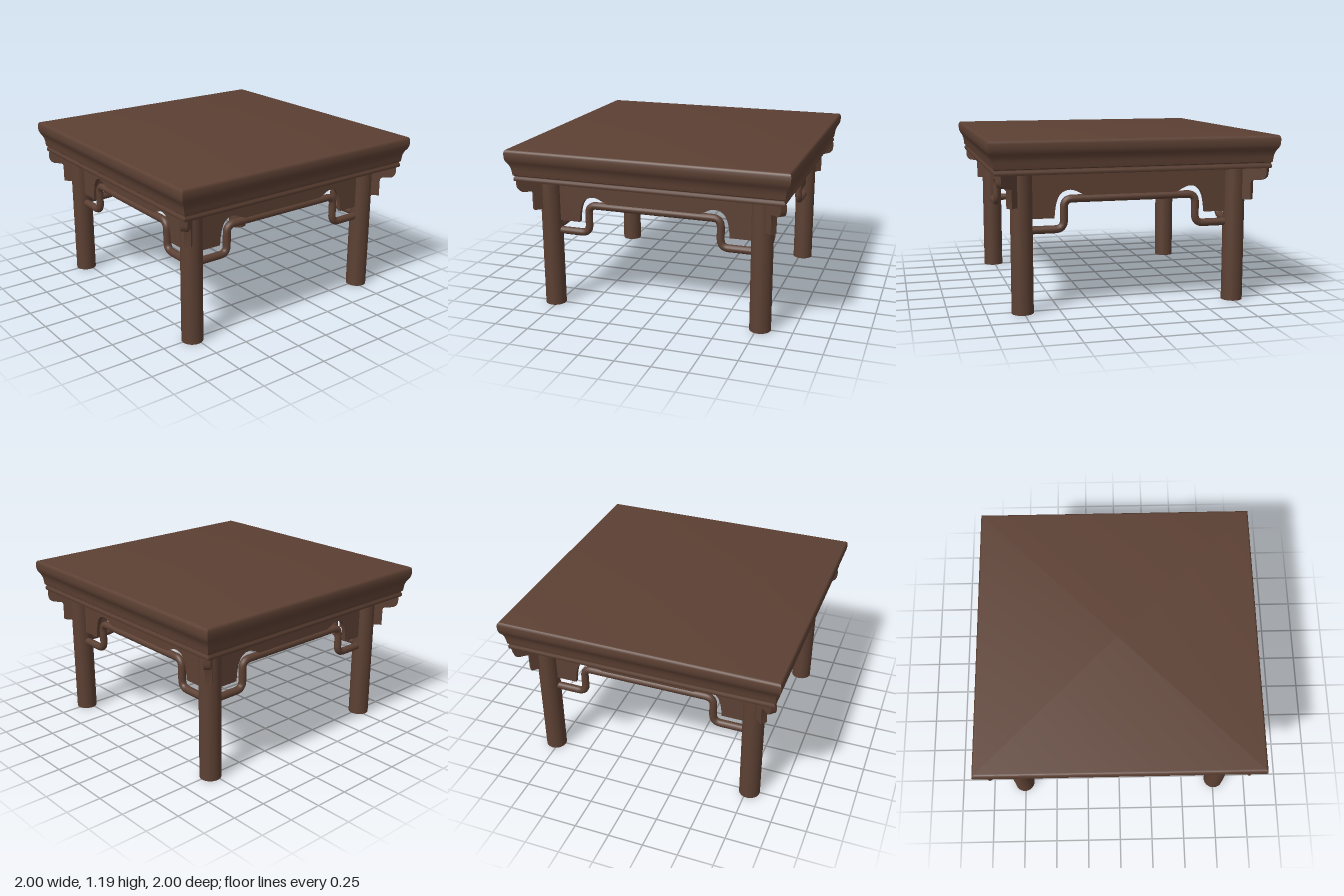
import * as THREE from 'three';
import { toCreasedNormals } from 'three/addons/utils/BufferGeometryUtils.js';

const LEG_X = 0.757, LEG_Z = 0.773, UNDERSIDE = 0.957;

// Centred extrusion of an outline
function plate(shape, thickness) {
  const g = new THREE.ExtrudeGeometry(shape, { depth: thickness, bevelEnabled: false, curveSegments: 10 });
  g.translate(0, 0, -thickness / 2);
  return toCreasedNormals(g, 0.6);
}

// Path through points with rounded corners
function roundedPath(points, radius) {
  const path = new THREE.CurvePath();
  let from = points[0];
  for (let i = 1; i < points.length - 1; i++) {
    const p = points[i];
    const a = p.clone().add(points[i - 1].clone().sub(p).setLength(radius));
    const b = p.clone().add(points[i + 1].clone().sub(p).setLength(radius));
    path.add(new THREE.LineCurve3(from, a));
    path.add(new THREE.QuadraticBezierCurve3(a, p, b));
    from = b;
  }
  path.add(new THREE.LineCurve3(from, points[points.length - 1]));
  return path;
}

// Moulded square top: a four-sided lathe of the edge profile
function topGeometry() {
  const profile = [
    [0, UNDERSIDE], [0.953, UNDERSIDE], [0.957, 0.966], [0.957, 0.98], [0.951, 0.988],
    [0.951, 0.994], [0.959, 1.0], [0.961, 1.01], [0.963, 1.03], [0.967, 1.055],
    [0.977, 1.08], [0.989, 1.098], [0.996, 1.115], [0.999, 1.135], [0.999, 1.165],
    [0.995, 1.178], [0.988, 1.185], [0.978, 1.187], [0, 1.187],
  ].map(([x, y]) => new THREE.Vector2(x * Math.SQRT2, y));
  const g = new THREE.LatheGeometry(profile, 4, Math.PI / 4);
  return toCreasedNormals(g, 0.7);
}

// Apron outline with an arched cut-out near each leg
function apronGeometry(legPos) {
  const d = legPos - LEG_X;
  const s = new THREE.Shape();
  s.moveTo(-legPos, UNDERSIDE);
  s.lineTo(-legPos, 0.643);
  s.lineTo(-0.535 - d, 0.643);
  s.bezierCurveTo(-0.527 - d, 0.76, -0.51 - d, 0.83, -0.425 - d, 0.832);
  s.bezierCurveTo(-0.38 - d, 0.83, -0.36 - d, 0.80, -0.30 - d, 0.785);
  s.lineTo(0.30 + d, 0.785);
  s.bezierCurveTo(0.36 + d, 0.80, 0.38 + d, 0.83, 0.425 + d, 0.832);
  s.bezierCurveTo(0.51 + d, 0.83, 0.527 + d, 0.76, 0.535 + d, 0.643);
  s.lineTo(legPos, 0.643);
  s.lineTo(legPos, UNDERSIDE);
  return plate(s, 0.03);
}

// Stretcher that steps up between the legs
function railGeometry(legPos) {
  const bend = 0.468 + legPos - LEG_X;
  const points = [[-legPos, 0.565], [-bend, 0.565], [-bend, 0.77], [bend, 0.77], [bend, 0.565], [legPos, 0.565]]
    .map(([x, y]) => new THREE.Vector3(x, y, 0));
  return new THREE.TubeGeometry(roundedPath(points, 0.06), 160, 0.027, 14);
}

// Stepped corner bracket, drawn outwards from the leg axis
function bracketGeometry() {
  const s = new THREE.Shape();
  s.moveTo(0, UNDERSIDE);
  s.lineTo(0, 0.73);
  s.lineTo(0.133, 0.73);
  s.lineTo(0.133, 0.85);
  s.quadraticCurveTo(0.134, 0.87, 0.155, 0.87);
  s.lineTo(0.2, 0.872);
  s.quadraticCurveTo(0.242, 0.876, 0.245, 0.92);
  s.lineTo(0.245, UNDERSIDE);
  return plate(s, 0.045);
}

export function createModel() {
  const table = new THREE.Group();
  table.name = 'squareTable';
  const wood = new THREE.MeshStandardMaterial({ color: 0x5c4033 });
  wood.name = 'darkWood';

  const add = (name, geometry, x = 0, y = 0, z = 0, turn = 0) => {
    const mesh = new THREE.Mesh(geometry, wood);
    mesh.name = name;
    mesh.position.set(x, y, z);
    mesh.rotation.y = turn;
    table.add(mesh);
  };

  add('tableTop', topGeometry());

  // Legs and diagonal brackets at the four corners
  const leg = new THREE.CylinderGeometry(0.075, 0.075, UNDERSIDE, 32);
  const bracket = bracketGeometry();
  for (const sx of [-1, 1]) {
    for (const sz of [-1, 1]) {
      add('leg', leg, sx * LEG_X, UNDERSIDE / 2, sz * LEG_Z);
      add('cornerBracket', bracket, sx * LEG_X, 0, sz * LEG_Z, Math.atan2(-sz, sx));
    }
  }

  // Aprons and rails on the four sides
  const apronX = apronGeometry(LEG_X), apronZ = apronGeometry(LEG_Z);
  const railX = railGeometry(LEG_X), railZ = railGeometry(LEG_Z);
  for (const s of [-1, 1]) {
    add('apron', apronX, 0, 0, s * LEG_Z);
    add('rail', railX, 0, 0, s * LEG_Z);
    add('sideApron', apronZ, s * LEG_X, 0, 0, Math.PI / 2);
    add('sideRail', railZ, s * LEG_X, 0, 0, Math.PI / 2);
  }
  return table;
}
